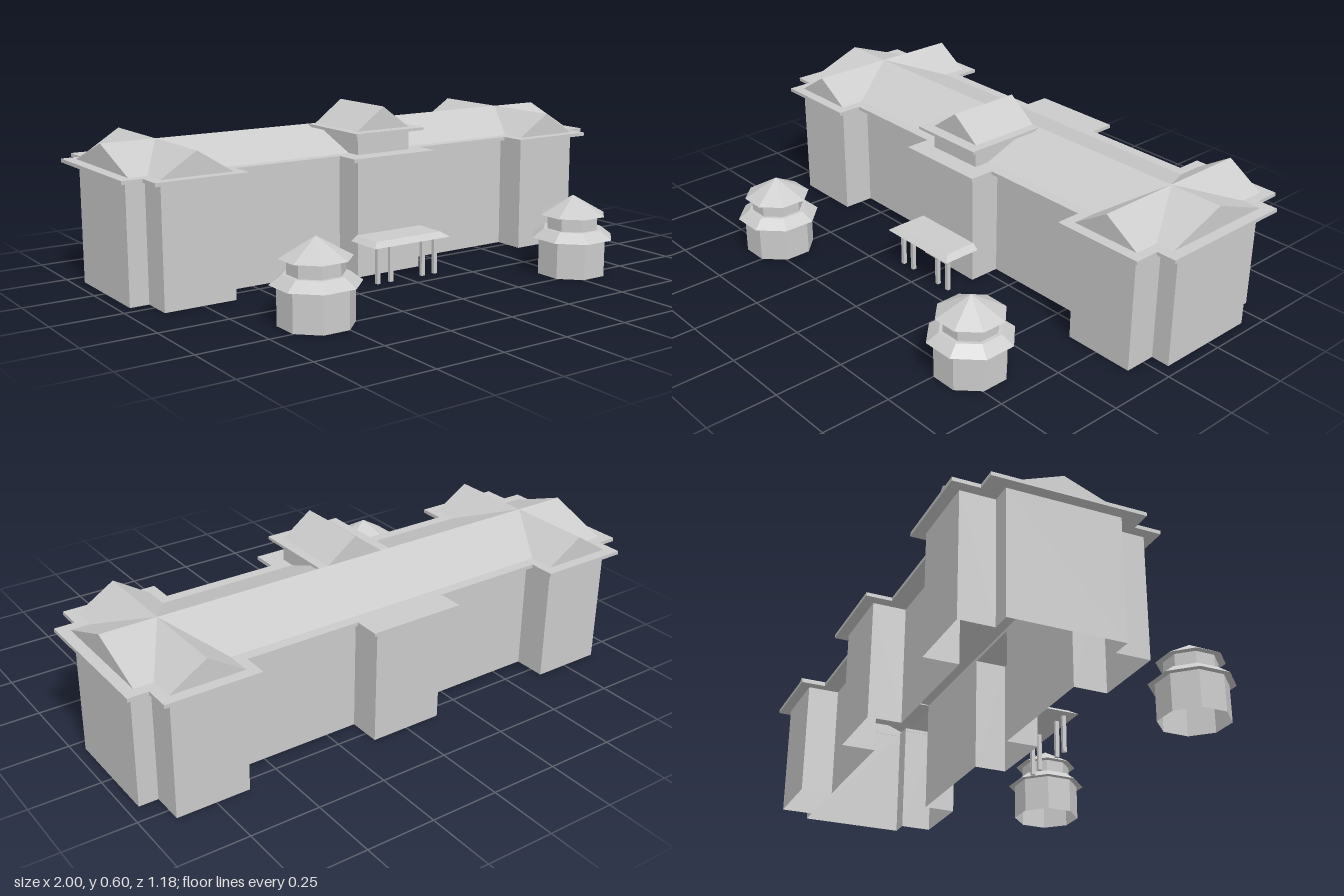
import * as THREE from 'three';

const mat = new THREE.MeshStandardMaterial({ color: 0xcccccc, flatShading: true });
const matDouble = new THREE.MeshStandardMaterial({ color: 0xcccccc, flatShading: true, side: THREE.DoubleSide });
const AXIS_Z = -0.2375; // ridge line of the long building
const EAVE = 0.438;

function add(parent, name, geometry, x = 0, y = 0, z = 0, material = mat) {
  const mesh = new THREE.Mesh(geometry, material);
  mesh.name = name;
  mesh.position.set(x, y, z);
  parent.add(mesh);
  return mesh;
}

function block(parent, name, x0, x1, y0, y1, z0, z1) {
  const geo = new THREE.BoxGeometry(x1 - x0, y1 - y0, z1 - z0);
  return add(parent, name, geo, (x0 + x1) / 2, (y0 + y1) / 2, (z0 + z1) / 2);
}

const toShape = (points) => new THREE.Shape(points.map(([x, y]) => new THREE.Vector2(x, y)));

// Floor plan: long bar with two cross wings and an optional central projection
function plan(halfX, halfZ, wingIn, wingOut, wingZ, centreX) {
  const half = [[halfX, halfZ], [wingOut, halfZ], [wingOut, wingZ], [wingIn, wingZ], [wingIn, halfZ]];
  if (centreX) half.push([centreX, halfZ], [centreX, wingZ]);
  const front = [...half, ...half.map(([x, z]) => [-x, z]).reverse()];
  return toShape([...front, ...front.map(([x, z]) => [-x, -z])]);
}

function raise(shape, height) {
  return new THREE.ExtrudeGeometry(shape, { depth: height, bevelEnabled: false }).rotateX(-Math.PI / 2);
}

// Keeps only the side faces of an extrusion (open top and bottom)
function sidesOnly(geo) {
  const { start, count } = geo.groups[1];
  const open = new THREE.BufferGeometry();
  for (const key of ['position', 'normal']) {
    const part = geo.attributes[key].array.slice(start * 3, (start + count) * 3);
    open.setAttribute(key, new THREE.BufferAttribute(part, 3));
  }
  return open;
}

// Gable roof shell, open below, with its ridge along z
function gable(w, h, length) {
  const l = length / 2;
  const geo = new THREE.BufferGeometry();
  geo.setAttribute('position', new THREE.Float32BufferAttribute(
    [-w, 0, l, w, 0, l, 0, h, l, -w, 0, -l, w, 0, -l, 0, h, -l], 3));
  geo.setIndex([0, 1, 2, 4, 3, 5, 1, 4, 5, 1, 5, 2, 3, 0, 2, 3, 2, 5]);
  const flat = geo.toNonIndexed();
  flat.computeVertexNormals();
  return flat;
}

// Hollow octagonal pavilion: two drums, each under a spreading roof
function pavilionGeometry() {
  const k = 1 / Math.cos(Math.PI / 8);
  const profile = [[0.117, 0], [0.117, 0.134], [0.1393, 0.134], [0.1, 0.166], [0.0875, 0.166],
    [0.0875, 0.216], [0.111, 0.216], [0, 0.285]].map(([r, y]) => new THREE.Vector2(r * k, y));
  const geo = new THREE.LatheGeometry(profile, 8, Math.PI / 8).toNonIndexed();
  geo.computeVertexNormals();
  return geo;
}

function createPorch() {
  const g = new THREE.Group();
  g.name = 'porch';
  // Canopy tapers on its front and both ends, and is flush at the wall
  const canopy = new THREE.BoxGeometry(0.328, 0.018, 0.148);
  const p = canopy.attributes.position;
  for (let i = 0; i < p.count; i++) {
    if (p.getY(i) < 0) continue;
    p.setX(i, p.getX(i) - Math.sign(p.getX(i)) * 0.024);
    if (p.getZ(i) > 0) p.setZ(i, p.getZ(i) - 0.026);
  }
  canopy.computeVertexNormals();
  add(g, 'porchCanopy', canopy, 0, 0.147, 0.148);
  for (const x of [-0.125, -0.07, 0.07, 0.125]) {
    block(g, 'porchPost', x - 0.007, x + 0.007, 0, 0.138, 0.175, 0.189);
  }
  return g;
}

export function createModel() {
  const model = new THREE.Group();
  model.name = 'building';

  // Walls, and eaves left open beneath the roofs
  const walls = sidesOnly(raise(plan(0.96, 0.193, 0.628, 0.891, 0.311, 0.135), 0.426));
  add(model, 'walls', walls, 0, 0, AXIS_Z, matDouble);
  const eaves = plan(1, 0.258, 0.592, 0.928, 0.35, 0.175);
  eaves.holes.push(plan(0.959, 0.193, 0.629, 0.89, 0.31));
  add(model, 'eaves', raise(eaves, 0.013), 0, 0.425, AXIS_Z);

  // Main roof and crossing wing roofs
  const mainRoof = gable(0.219, 0.083, 1.92).rotateY(Math.PI / 2);
  add(model, 'mainRoof', mainRoof, 0, EAVE, AXIS_Z, matDouble);
  for (const s of [-1, 1]) {
    const name = s > 0 ? 'leftWingRoof' : 'rightWingRoof';
    add(model, name, gable(0.132, 0.083, 0.622), s * 0.76, EAVE, AXIS_Z, matDouble);
  }

  // Raised dormer over the entrance, its base following the roof slope
  const dormerSide = toShape([[-0.04, EAVE], [0.0185, EAVE], [0.2135, 0.512], [-0.04, 0.512]]);
  const dormerWall = new THREE.ExtrudeGeometry(dormerSide, { depth: 0.224, bevelEnabled: false })
    .translate(0, 0, -0.112).rotateY(Math.PI / 2);
  add(model, 'dormerWall', dormerWall);
  block(model, 'dormerEaves', -0.147, 0.147, 0.511, 0.521, AXIS_Z, 0.083);
  add(model, 'dormerRoof', gable(0.112, 0.082, 0.276), 0, 0.521, -0.1, matDouble);

  model.add(createPorch());

  // Free-standing pavilions in front
  for (const s of [-1, 1]) {
    const name = s > 0 ? 'leftPavilion' : 'rightPavilion';
    add(model, name, pavilionGeometry(), s * 0.549, 0, 0.449, matDouble);
  }
  return model;
}
